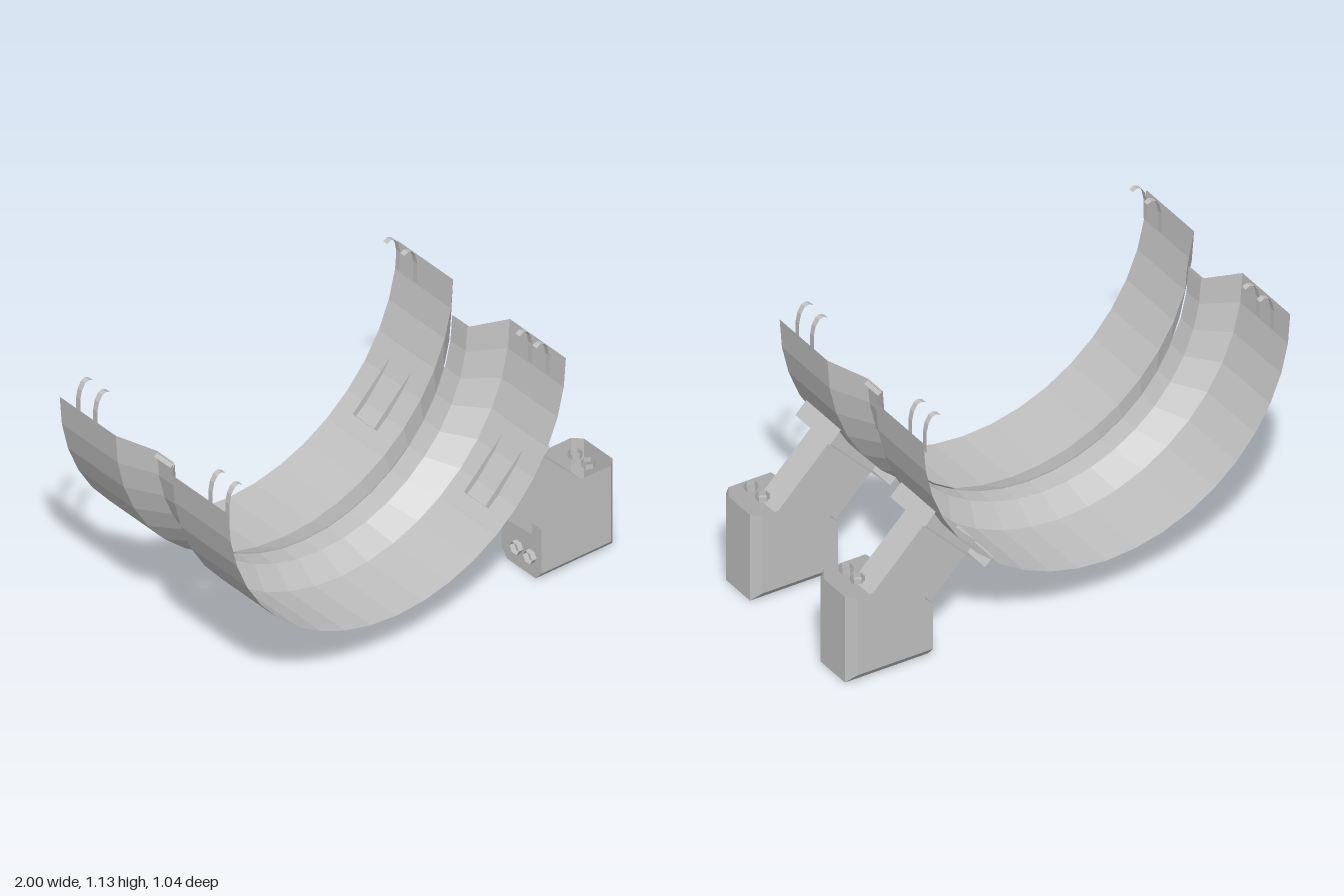
import * as THREE from 'three';

const grey = new THREE.MeshStandardMaterial({ color: 0xc0c0c0, side: THREE.DoubleSide, flatShading: true });
grey.name = 'light grey';

const CX = -0.153; // centre line of the cradle

// Surface through rows of points, each row having the same count
function loft(rows) {
  const n = rows[0].length, index = [];
  for (let i = 0; i < rows.length - 1; i++) {
    for (let j = 0; j < n - 1; j++) {
      const a = i * n + j, b = a + n;
      index.push(a, b, a + 1, a + 1, b, b + 1);
    }
  }
  const g = new THREE.BufferGeometry();
  g.setAttribute('position', new THREE.Float32BufferAttribute(rows.flat(2), 3));
  g.setIndex(index);
  g.computeVertexNormals();
  return g;
}

function add(parent, name, geometry) {
  const mesh = new THREE.Mesh(geometry, grey);
  mesh.name = name;
  parent.add(mesh);
  return mesh;
}

// Thin ribbon: an xy path swept from z0 to z1
const ribbon = (path, z0, z1) => loft([z0, z1].map(z => path.map(([x, y]) => [x, y, z])));

// Lower half circle, from left end to right end, in 20 facets
function halfArc(r, cy) {
  const pts = [];
  for (let i = 0; i <= 20; i++) {
    const a = Math.PI * (1 + i / 20);
    pts.push([CX + r * Math.cos(a), cy + r * Math.sin(a)]);
  }
  return pts;
}

// Flat polygon given by its corners in order
const panel = pts => {
  const g = new THREE.BufferGeometry();
  const index = [];
  for (let i = 1; i < pts.length - 1; i++) index.push(0, i, i + 1);
  g.setAttribute('position', new THREE.Float32BufferAttribute(pts.flat(), 3));
  g.setIndex(index);
  g.computeVertexNormals();
  return g;
};

function makeSupport() {
  const support = new THREE.Group();
  support.name = 'support';

  // Flanged mounting plate lying against the cradle
  add(support, 'mountingPlate', ribbon([[0.338, 0.374], [0.377, 0.337], [0.655, 0.625], [0.6, 0.68]], -0.125, 0.125));

  // Open square strut running down at 45 degrees
  const strut = [[0.38, 0.43], [0.58, 0.63], [0.865, 0.345], [0.665, 0.145]];
  const w = 0.065;
  const ends = [[strut[0], strut[1]], [strut[3], strut[2]]];
  add(support, 'strut', loft(ends.map(([a, b]) =>
    [[...a, -w], [...b, -w], [...b, w], [...a, w], [...a, -w]])));

  // Foot housing: bevelled along the bottom and the outer end, open above
  const foot = new THREE.Group();
  foot.name = 'foot';
  support.add(foot);
  const Z = 0.1225, z = 0.0875;
  for (const s of [1, -1]) {
    add(foot, 'footSide', panel([[0.615, 0.04, s * Z], [0.965, 0.04, s * Z], [0.965, 0.4, s * Z], [0.77, 0.4, s * Z], [0.615, 0.25, s * Z]]));
    add(foot, 'footBottomBevel', panel([[0.615, 0, s * z], [1, 0, s * z], [0.965, 0.04, s * Z], [0.615, 0.04, s * Z]]));
    add(foot, 'footEndBevel', panel([[1, 0, s * z], [1, 0.4, s * z], [0.965, 0.4, s * Z], [0.965, 0.04, s * Z]]));
  }
  add(foot, 'footBase', panel([[0.615, 0, -z], [1, 0, -z], [1, 0, z], [0.615, 0, z]]));
  add(foot, 'footEnd', panel([[1, 0, -z], [1, 0.4, -z], [1, 0.4, z], [1, 0, z]]));
  add(foot, 'footBack', panel([[0.615, 0, -z], [0.615, 0, z], [0.615, 0.04, Z], [0.615, 0.25, Z], [0.615, 0.25, -Z], [0.615, 0.04, -Z]]));

  // Hexagonal bolt collars on the top and on the inner side
  const collar = new THREE.CylinderGeometry(0.029, 0.029, 0.022, 6, 1, true);
  for (const dz of [0.066, -0.016]) {
    add(foot, 'topBolt', collar).position.set(0.897, 0.41, dz);
    const side = add(foot, 'sideBolt', collar);
    side.rotation.z = Math.PI / 2;
    side.position.set(0.603, 0.097, dz);
  }
  return support;
}

export function createModel() {
  const model = new THREE.Group();
  model.name = 'cradle';

  // Two mirrored trough halves, sloping up to the central groove
  const outer = halfArc(0.847, 1.056), inner = halfArc(0.735, 1.0);
  const at = (arc, z) => arc.map(([x, y]) => [x, y, z]);
  for (const s of [1, -1]) {
    add(model, 'troughHalf', loft([at(outer, s * 0.52), at(outer, s * 0.175)]));
    add(model, 'troughSlope', loft([at(outer, s * 0.175), at(inner, s * 0.05)]));
  }

  // Separate band in the groove, with a small lip at both ends
  add(model, 'grooveBand', ribbon(halfArc(0.741, 1.0), -0.05, 0.05));

  // Right side hook path; mirrored about the centre line for the left
  const hook = [[0.65, 0.97], [0.65, 1.06], [0.642, 1.1], [0.625, 1.128], [0.605, 1.135], [0.585, 1.125]];
  const lip = [[0.582, 1.0], [0.604, 0.985]];
  for (const mirrored of [false, true]) {
    const side = path => path.map(([x, y]) => [mirrored ? 2 * CX - x : x, y]);
    add(model, 'bandLip', ribbon(side(lip), -0.05, 0.05));
    for (const z of [0.46, 0.355, -0.355, -0.46]) {
      add(model, 'hook', ribbon(side(hook), z - 0.013, z + 0.013));
    }
  }

  // Front and rear supports
  for (const z of [0.343, -0.343]) {
    const support = makeSupport();
    support.position.z = z;
    model.add(support);
  }
  return model;
}
